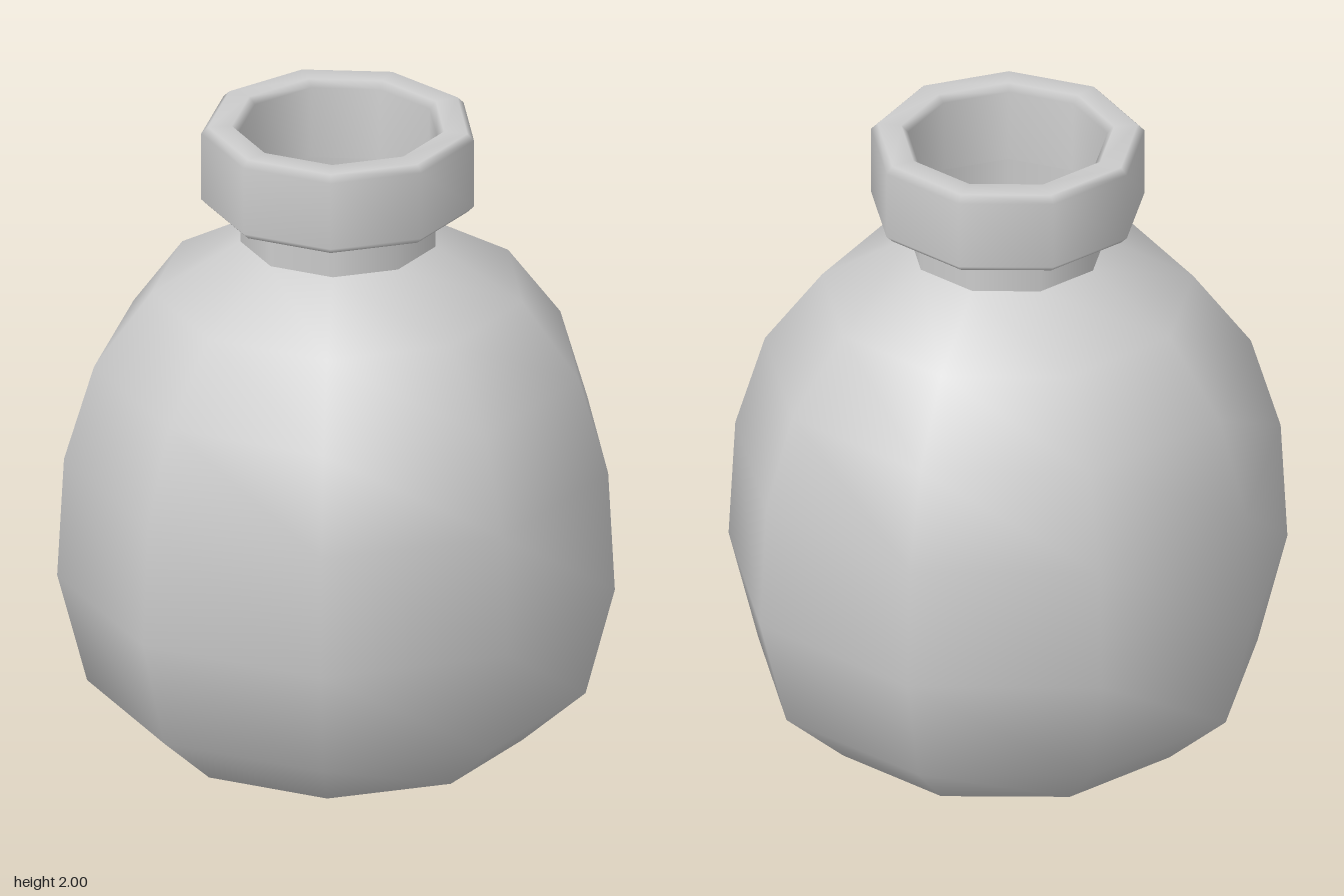
import * as THREE from 'three';

const SIDES = 9;
const START = THREE.MathUtils.degToRad(31.6);

// Nine-sided turned part from [radius, height] pairs
function turned(name, profile, material) {
  const points = profile.map(([r, y]) => new THREE.Vector2(r, y));
  const mesh = new THREE.Mesh(new THREE.LatheGeometry(points, SIDES, START), material);
  mesh.name = name;
  return mesh;
}

export function createModel() {
  const group = new THREE.Group();
  group.name = 'bottle';
  const material = new THREE.MeshStandardMaterial({ color: 0xcccccc, side: THREE.DoubleSide });

  // Hollow round body, closed at the base and open at the shoulder
  group.add(turned('body', [
    [0, 0], [0.29, 0], [0.55, 0.08], [0.74, 0.25], [0.828, 0.59],
    [0.808, 0.96], [0.72, 1.25], [0.55, 1.48], [0.29, 1.63],
  ], material));

  // Straight neck
  group.add(turned('neck', [[0.29, 1.63], [0.29, 1.76]], material));

  // Thick bevelled lip around the opening
  group.add(turned('lip', [
    [0.29, 1.75], [0.385, 1.75], [0.405, 1.77], [0.405, 1.98],
    [0.385, 2.0], [0.315, 2.0], [0.295, 1.98], [0.29, 1.75],
  ], material));

  // Centre the odd-sided outline
  group.children.forEach((part) => part.position.set(0.018, 0, -0.008));
  return group;
}
